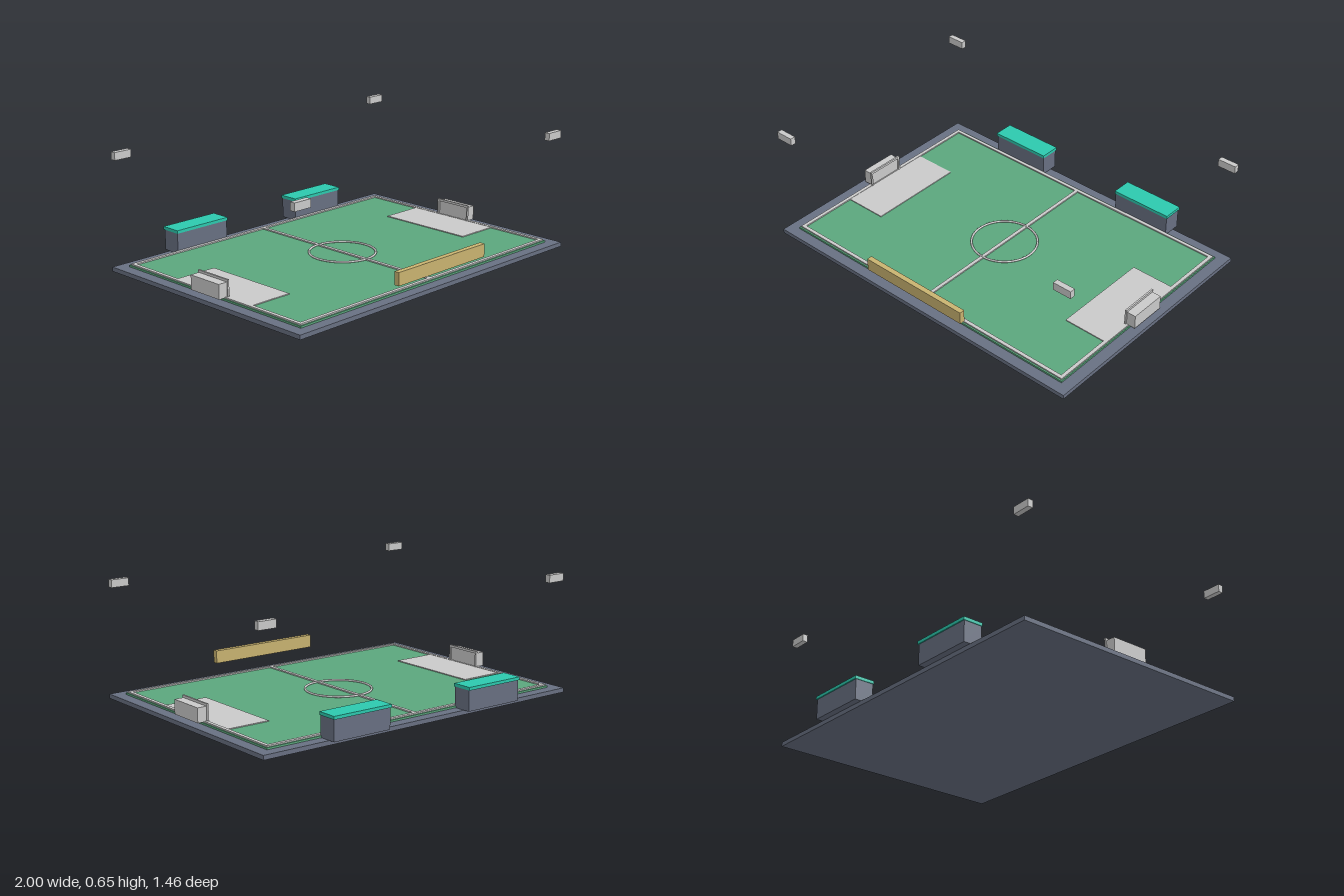
import * as THREE from 'three';

export function createModel() {
  const model = new THREE.Group();
  model.name = 'footballPitch';

  const mat = (name, color) => {
    const m = new THREE.MeshStandardMaterial({ color });
    m.name = name;
    return m;
  };
  const slate = mat('slate', 0x687082);
  const grass = mat('grassGreen', 0x5ba77d);
  const white = mat('paleGrey', 0xcacaca);
  const teal = mat('teal', 0x2cc9ae);
  const gold = mat('gold', 0xc9b370);

  // Box given by its limits on each axis
  const box = (name, material, [x0, x1], [y0, y1], [z0, z1], parent = model) => {
    const mesh = new THREE.Mesh(new THREE.BoxGeometry(x1 - x0, y1 - y0, z1 - z0), material);
    mesh.position.set((x0 + x1) / 2, (y0 + y1) / 2, (z0 + z1) / 2);
    mesh.name = name;
    parent.add(mesh);
    return mesh;
  };
  const around = (c, half) => [c - half, c + half];
  const zc = 0.02; // centre line of the pitch

  // Ground slab and grass
  box('base', slate, [-1, 1], [0, 0.024], [-0.687, 0.728]);
  box('grass', grass, [-0.936, 0.936], [0.024, 0.034], around(zc, 0.646));

  // Painted lines
  const lineY = [0.034, 0.041];
  box('halfwayLine', white, around(0, 0.01), lineY, around(zc, 0.617));
  const circle = new THREE.Mesh(new THREE.TorusGeometry(0.18, 0.006, 8, 48), white);
  circle.rotation.x = Math.PI / 2;
  circle.position.set(0, 0.039, zc);
  circle.name = 'centreCircle';
  model.add(circle);

  for (const s of [-1, 1]) {
    box('touchLine', white, [-0.93, 0.93], lineY, around(zc + s * 0.627, 0.01));
    box('goalLine', white, around(s * 0.92, 0.01), lineY, around(zc, 0.617));
    box('penaltyArea', white, around(s * 0.7875, 0.1225), [0.034, 0.039], around(zc, 0.284));

    // Goal: posts, crossbar and net block behind
    const goal = new THREE.Group();
    goal.name = 'goal';
    model.add(goal);
    const frameX = around(s * 0.912, 0.005);
    box('net', white, around(s * 0.942, 0.027), [0.038, 0.117], around(zc, 0.106), goal);
    box('crossbar', white, frameX, [0.117, 0.13], around(zc, 0.112), goal);
    for (const t of [-1, 1]) {
      box('post', white, frameX, [0.034, 0.117], around(zc + t * 0.107, 0.005), goal);
    }

    // Dugout with flat roof
    const dugout = new THREE.Group();
    dugout.name = 'dugout';
    model.add(dugout);
    box('dugoutBody', slate, around(s * 0.438, 0.175), [0.024, 0.137], [-0.724, -0.618], dugout);
    box('dugoutRoof', teal, around(s * 0.438, 0.179), [0.137, 0.154], [-0.73, -0.614], dugout);

    // Floating floodlight heads at the corners
    for (const t of [-1, 1]) {
      box('floodlight', white, around(s * 0.948, 0.052), [0.61, 0.652], around(zc + t * 0.663, 0.015));
    }
  }

  // Board along the front edge
  box('frontBoard', gold, [-0.329, 0.329], [0.096, 0.167], [0.7, 0.73]);

  return model;
}
